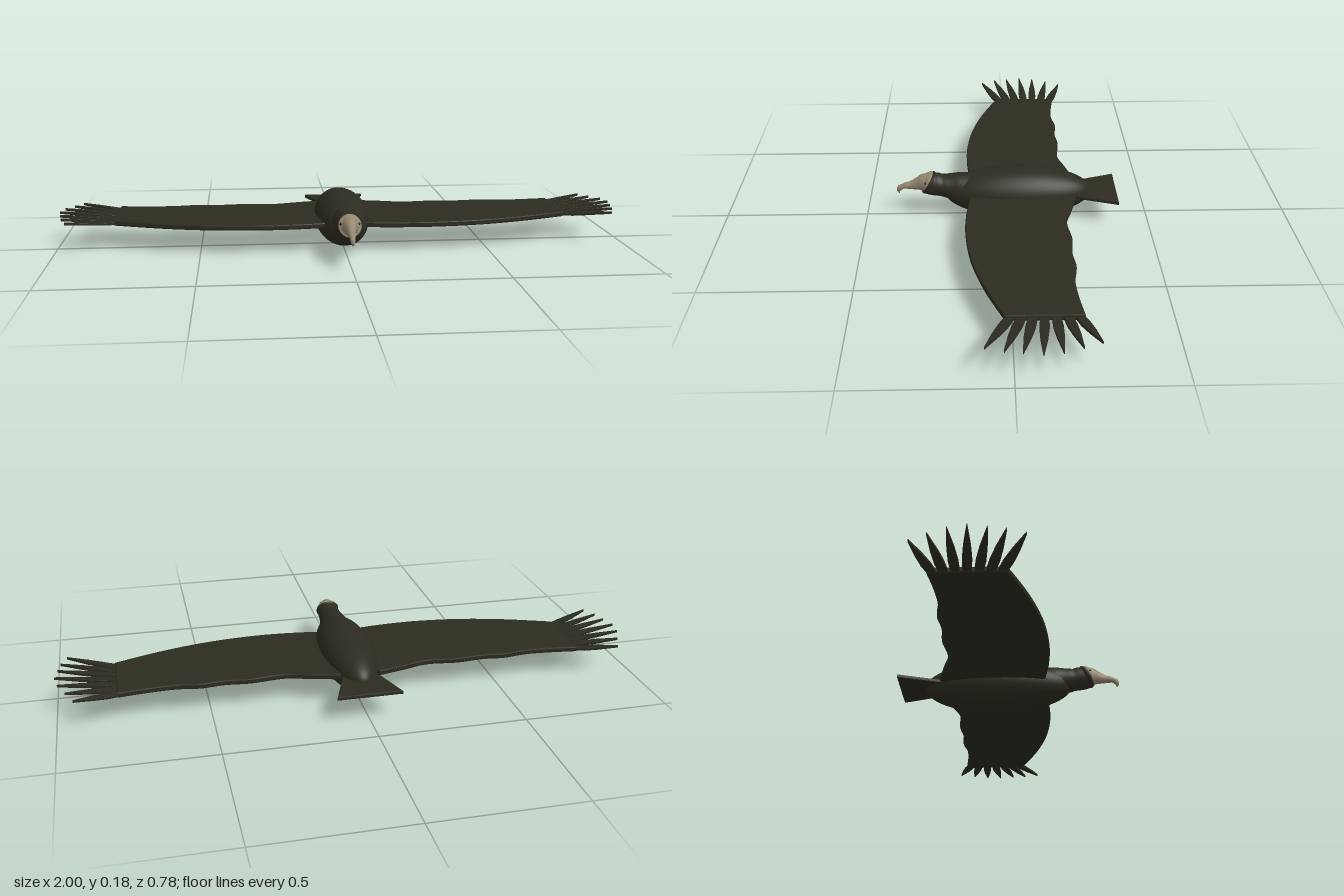
import * as THREE from 'three';

const plumage = new THREE.MeshStandardMaterial({ color: 0x2c2b20 });
plumage.name = 'darkPlumage';
const skin = new THREE.MeshStandardMaterial({ color: 0x94876f });
skin.name = 'paleSkin';
const eyeDark = new THREE.MeshStandardMaterial({ color: 0x14130f });
eyeDark.name = 'eyeDark';

function add(group, name, geometry, material) {
  const mesh = new THREE.Mesh(geometry, material);
  mesh.name = name;
  group.add(mesh);
  return mesh;
}

// Smooth loft of elliptical rings [z, y, rx, ry, upward tilt], with pointed end caps
function loft(rings, sides = 28, steps = 36) {
  const zy = new THREE.CatmullRomCurve3(rings.map(r => new THREE.Vector3(0, r[1], r[0])));
  const rad = new THREE.CatmullRomCurve3(rings.map(r => new THREE.Vector3(r[2], r[3], r[4])));
  const pos = [], idx = [];
  for (let i = 0; i <= steps; i++) {
    const c = zy.getPoint(i / steps), r = rad.getPoint(i / steps);
    for (let j = 0; j < sides; j++) {
      const a = (j / sides) * Math.PI * 2, v = Math.sin(a) * r.y;
      pos.push(Math.cos(a) * r.x, c.y + v * Math.cos(r.z), c.z - v * Math.sin(r.z));
    }
  }
  for (let i = 0; i < steps; i++) {
    for (let j = 0; j < sides; j++) {
      const a = i * sides + j, b = i * sides + (j + 1) % sides;
      idx.push(a, b, b + sides, a, b + sides, a + sides);
    }
  }
  const g = new THREE.BufferGeometry();
  g.setAttribute('position', new THREE.Float32BufferAttribute(pos, 3));
  g.setIndex(idx);
  g.computeVertexNormals();
  return g;
}

// Flat plate from an [x, z] outline; parts beyond the wrist bend upward
function plate(points, y, thickness, bevel) {
  const shape = new THREE.Shape(points.map(([x, z]) => new THREE.Vector2(x, -z)));
  const g = new THREE.ExtrudeGeometry(shape, {
    depth: thickness - 2 * bevel, bevelEnabled: true, bevelThickness: bevel,
    bevelSize: bevel, bevelOffset: -bevel, bevelSegments: 2,
  });
  g.rotateX(-Math.PI / 2).translate(0, y + bevel, 0);
  const p = g.attributes.position;
  for (let i = 0; i < p.count; i++) {
    p.setY(i, p.getY(i) + Math.max(0, Math.abs(p.getX(i)) - 0.8) * 0.11);
  }
  g.computeVertexNormals();
  return g;
}

function smooth(points, n) {
  return new THREE.SplineCurve(points.map(p => new THREE.Vector2(...p)))
    .getPoints(n).map(v => [v.x, v.y]);
}

export function createModel() {
  const bird = new THREE.Group();
  bird.name = 'soaringBird';

  // Body, neck ruff and head
  const body = new THREE.SphereGeometry(1, 48, 32).rotateX(Math.PI / 2);
  body.scale(0.095, 0.09, 0.26).translate(0, 0.09, -0.04);
  add(bird, 'body', body, plumage);

  add(bird, 'neck', loft([
    [0.11, 0.098, 0.06, 0.06, 0],
    [0.17, 0.108, 0.05, 0.052, 0],
    [0.22, 0.113, 0.042, 0.042, 0.05],
    [0.25, 0.119, 0.039, 0.042, 0.25],
    [0.266, 0.122, 0.038, 0.042, 0.42],
    [0.28, 0.129, 0.036, 0.037, 0.56],
    [0.281, 0.13, 0.001, 0.001, 0.56],
  ]), plumage);

  add(bird, 'headAndBeak', loft([
    [0.268, 0.122, 0.03, 0.03, 0.56],
    [0.28, 0.129, 0.036, 0.037, 0.56],
    [0.293, 0.13, 0.028, 0.032, 0.3],
    [0.312, 0.123, 0.019, 0.025, -0.1],
    [0.337, 0.116, 0.013, 0.016, -0.15],
    [0.362, 0.113, 0.011, 0.011, -0.2],
    [0.378, 0.106, 0.009, 0.01, -0.75],
    [0.384, 0.094, 0.006, 0.006, -1.4],
    [0.381, 0.084, 0.001, 0.001, -1.75],
  ], 24, 48), skin);

  // Wings with fingered tips
  const leading = smooth([[0.03, 0.12], [0.1, 0.132], [0.2, 0.142], [0.32, 0.143],
    [0.48, 0.125], [0.64, 0.084], [0.8, 0.025]], 28);
  const trailing = smooth([[0.8, -0.212], [0.7, -0.2], [0.61, -0.196], [0.53, -0.207],
    [0.45, -0.2], [0.36, -0.207], [0.25, -0.197], [0.16, -0.22], [0.07, -0.243]], 36);
  const wingOutline = [...leading, ...trailing, [0.03, -0.2]];
  const tips = [[0.94, -0.247], [0.965, -0.192], [0.99, -0.135], [1, -0.078],
    [0.99, -0.022], [0.98, 0.03], [0.96, 0.084]];

  for (const [side, label] of [[1, 'left'], [-1, 'right']]) {
    const wing = new THREE.Group();
    wing.name = label + 'Wing';
    bird.add(wing);
    const mirror = pts => pts.map(([x, z]) => [x * side, z]);
    add(wing, label + 'WingPlane', plate(mirror(wingOutline), 0.085, 0.019, 0.004), plumage);

    tips.forEach(([tx, tz], i) => {
      // Leaf-shaped feather from the wing end to its tip
      const bx = 0.785, bz = -0.192 + i * 0.033;
      const dx = tx - bx, dz = tz - bz, len = Math.hypot(dx, dz);
      const at = (t, w) => [bx + dx * t - dz / len * w, bz + dz * t + dx / len * w];
      const leaf = [at(0, -0.013), at(0.3, -0.015), at(0.6, -0.011), at(1, -0.001),
        at(1, 0.001), at(0.6, 0.011), at(0.3, 0.015), at(0, 0.013)];
      add(wing, label + 'TipFeather' + (i + 1), plate(mirror(leaf), 0.087, 0.009, 0.0006), plumage);
    });

    const eye = add(bird, label + 'Eye', new THREE.SphereGeometry(0.005, 12, 8), eyeDark);
    eye.position.set(side * 0.03, 0.136, 0.285);
  }

  // Tail fan
  add(bird, 'tail', plate([[-0.045, -0.2], [0.045, -0.2], [0.06, -0.245], [0.11, -0.39],
    [-0.11, -0.39], [-0.06, -0.245]], 0.084, 0.013, 0.003), plumage);

  return bird;
}
